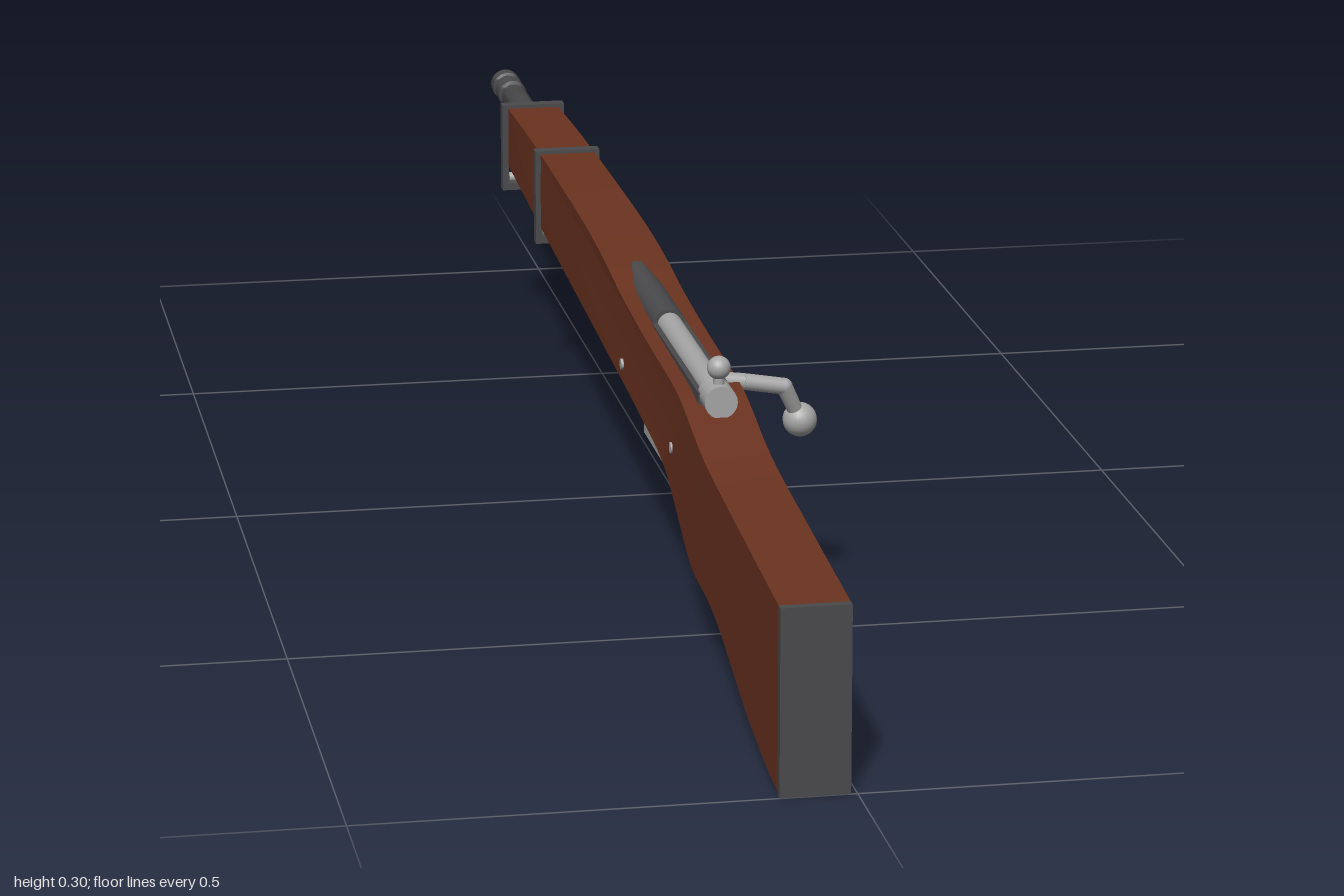
import * as THREE from 'three';
import { toCreasedNormals } from 'three/addons/utils/BufferGeometryUtils.js';

const CX = -0.042; // centre line of the rifle

const material = (name, color) => {
  const m = new THREE.MeshStandardMaterial({ color });
  m.name = name;
  return m;
};

export function createModel() {
  const group = new THREE.Group();
  const wood = material('walnut wood', 0x6b3320);
  const dark = material('dark steel', 0x4a4a4c);
  const light = material('bright steel', 0xa6a6a6);

  const add = (name, geometry, mat, x = 0, y = 0, z = 0) => {
    const mesh = new THREE.Mesh(geometry, mat);
    mesh.name = name;
    mesh.position.set(x, y, z);
    group.add(mesh);
    return mesh;
  };
  const box = (name, mat, w, h, d, x, y, z) => add(name, new THREE.BoxGeometry(w, h, d), mat, x, y, z);
  const ball = (name, mat, r, x, y, z) => add(name, new THREE.SphereGeometry(r, 20, 14), mat, x, y, z);
  // Rod between two points
  const rod = (name, mat, r0, r1, a, b) => {
    const from = new THREE.Vector3(...a), to = new THREE.Vector3(...b);
    const dir = to.clone().sub(from);
    const mesh = add(name, new THREE.CylinderGeometry(r1, r0, dir.length(), 20), mat);
    mesh.position.copy(from).add(to).multiplyScalar(0.5);
    mesh.quaternion.setFromUnitVectors(new THREE.Vector3(0, 1, 0), dir.normalize());
    return mesh;
  };

  // Stock: side profile [z, y], extruded across and tapered to the muzzle
  const top = [[0.99, 0.194], [0.8, 0.206], [0.6, 0.221], [0.47, 0.246], [0.4, 0.252], [0.25, 0.255],
    [0.1, 0.262], [0, 0.271], [-0.12, 0.278], [-0.3, 0.28], [-0.6, 0.278], [-0.785, 0.272]];
  const bottom = [[-0.785, 0.2], [-0.47, 0.187], [0, 0.17], [0.25, 0.157], [0.35, 0.148], [0.41, 0.13],
    [0.47, 0.104], [0.53, 0.083], [0.63, 0.077], [0.71, 0.061], [0.82, 0.03], [0.92, 0.011], [0.99, 0.003]];
  const curve = (points) => new THREE.SplineCurve(points.map(([z, y]) => new THREE.Vector2(-z, y))).getPoints(44);
  const stockGeo = new THREE.ExtrudeGeometry(new THREE.Shape([...curve(top), ...curve(bottom)]),
    { depth: 2, bevelEnabled: false });
  stockGeo.translate(0, 0, -1).rotateY(Math.PI / 2);
  const pos = stockGeo.attributes.position;
  for (let i = 0; i < pos.count; i++) {
    const t = THREE.MathUtils.clamp(-pos.getZ(i) / 0.785, 0, 1);
    pos.setX(i, pos.getX(i) * (0.0355 - 0.004 * t));
  }
  add('stock', toCreasedNormals(stockGeo, 0.5), wood, CX);
  box('stockNose', wood, 0.052, 0.06, 0.022, CX, 0.238, -0.79);
  box('buttPlate', dark, 0.071, 0.194, 0.011, CX, 0.097, 0.9945);

  // Barrel with a stepped muzzle, revolved about its axis
  const profile = [[0, -0.72], [0.0165, -0.72], [0.0165, -0.915], [0.0145, -0.92], [0.0145, -0.932],
    [0.018, -0.936], [0.018, -0.965], [0.0155, -0.968], [0.0155, -0.978], [0.0185, -0.981],
    [0.0185, -1], [0.008, -1], [0.008, -0.97], [0, -0.97]];
  const barrelGeo = new THREE.LatheGeometry(profile.map(([r, z]) => new THREE.Vector2(r, -z)), 28);
  add('barrel', toCreasedNormals(barrelGeo.rotateX(-Math.PI / 2), 0.6), dark, CX, 0.25, 0);

  // Barrel bands: thin loops hanging slightly below the wood
  const rect = (P, w, y0, y1) => {
    const p = new P();
    p.moveTo(-w, y0); p.lineTo(w, y0); p.lineTo(w, y1); p.lineTo(-w, y1); p.closePath();
    return p;
  };
  for (const [name, z, y1] of [['middleBand', -0.505, 0.283], ['frontBand', -0.773, 0.277]]) {
    const loop = rect(THREE.Shape, 0.039, 0.168, y1);
    loop.holes.push(rect(THREE.Path, 0.031, 0.176, y1 - 0.006));
    const geo = new THREE.ExtrudeGeometry(loop, { depth: 0.016, bevelEnabled: false });
    add(name, geo.translate(0, 0, -0.008), dark, CX, 0, z);
    rod(name + 'Screw', light, 0.006, 0.006, [CX - 0.03, 0.183, z], [CX + 0.03, 0.183, z]);
  }
  box('frontBandLug', light, 0.014, 0.014, 0.016, CX, 0.184, -0.782);

  // Receiver and bolt
  rod('receiverRing', dark, 0.019, 0.019, [CX, 0.254, 0.2], [CX, 0.254, 0.045]);
  rod('chamber', dark, 0.017, 0.015, [CX, 0.256, 0.05], [CX, 0.258, -0.01]);
  box('receiverBed', dark, 0.038, 0.03, 0.28, CX, 0.243, 0.335);
  rod('boltBody', light, 0.0135, 0.0135, [CX, 0.256, 0.47], [CX, 0.256, 0.19]);
  rod('boltSleeve', light, 0.0175, 0.0175, [CX, 0.255, 0.505], [CX, 0.255, 0.465]);
  rod('cockingStem', light, 0.006, 0.006, [CX, 0.262, 0.49], [CX, 0.285, 0.49]);
  ball('cockingKnob', light, 0.0125, CX, 0.289, 0.49);

  // Bent bolt handle
  rod('handleRoot', light, 0.008, 0.009, [CX, 0.255, 0.41], [0, 0.249, 0.41]);
  rod('handleArm', light, 0.009, 0.009, [0, 0.249, 0.41], [0.044, 0.241, 0.408]);
  ball('handleElbow', light, 0.009, 0.044, 0.241, 0.408);
  rod('handleDrop', light, 0.009, 0.008, [0.044, 0.241, 0.408], [0.061, 0.205, 0.398]);
  ball('handleKnob', light, 0.0185, 0.0635, 0.2, 0.396);

  // Magazine, trigger guard and trigger
  box('magazine', light, 0.042, 0.05, 0.195, CX, 0.147, 0.253);
  const guard = new THREE.CatmullRomCurve3([[0.49, 0.11], [0.484, 0.09], [0.46, 0.075], [0.42, 0.069],
    [0.38, 0.079], [0.358, 0.1], [0.35, 0.15]].map(([z, y]) => new THREE.Vector3(CX, y, z)));
  add('triggerGuard', new THREE.TubeGeometry(guard, 32, 0.0055, 10), dark);
  const trigger = new THREE.CatmullRomCurve3([[0.41, 0.14], [0.418, 0.115], [0.412, 0.092]]
    .map(([z, y]) => new THREE.Vector3(CX, y, z)));
  add('trigger', new THREE.TubeGeometry(trigger, 12, 0.005, 8), light);

  // Cross pins through the stock and the rear sling mount
  for (const [z, y] of [[0.1, 0.185], [0.41, 0.18]]) {
    rod('crossPin', light, 0.006, 0.006, [CX - 0.0375, y, z], [CX + 0.0375, y, z]);
  }
  box('slingMount', light, 0.02, 0.016, 0.02, CX, 0.029, 0.82);

  return group;
}
